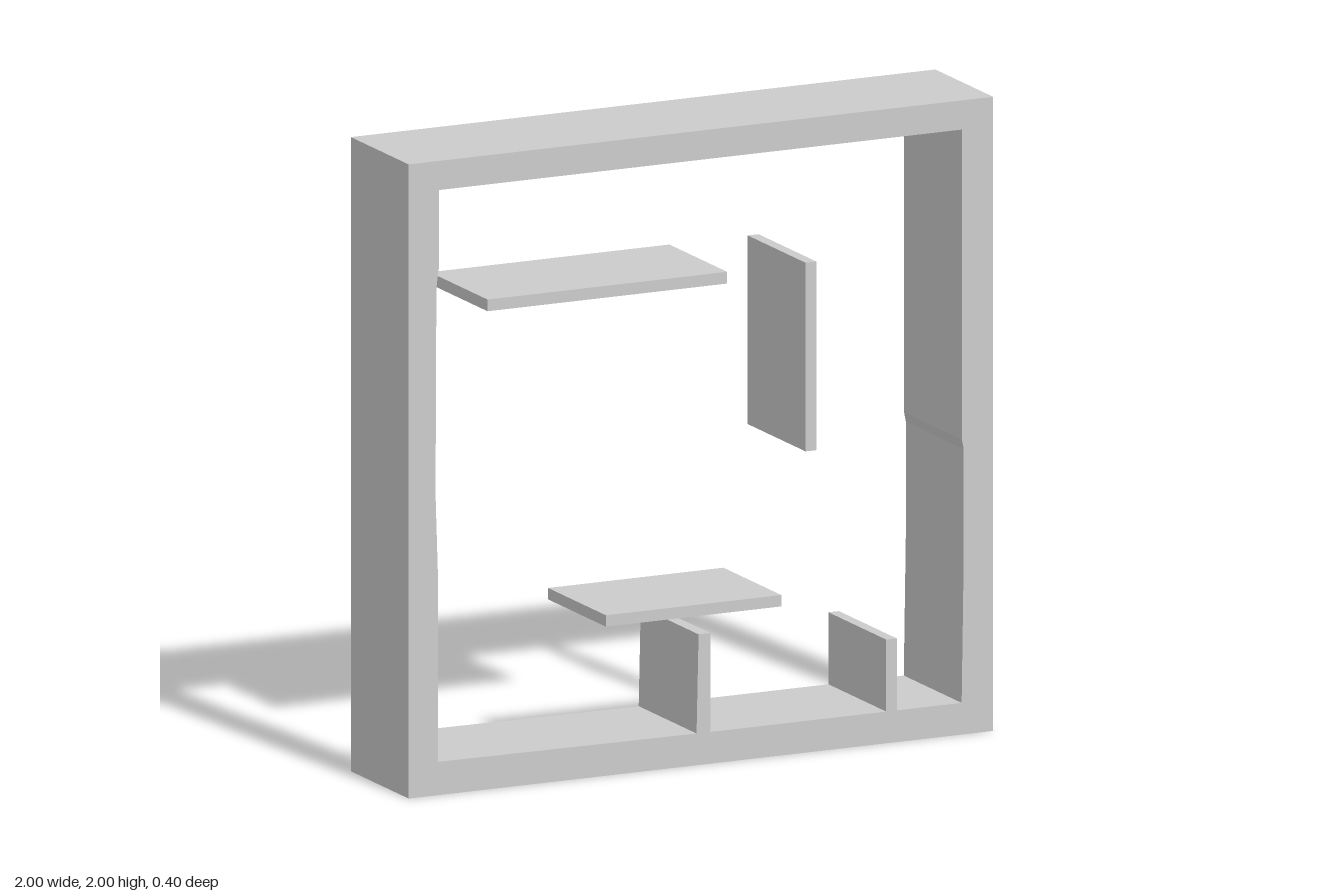
import * as THREE from 'three';

const DEPTH = 0.4;

export function createModel() {
  const group = new THREE.Group();
  const material = new THREE.MeshStandardMaterial({ color: 0xcccccc, flatShading: true });
  const points = (list) => list.map(([x, y]) => new THREE.Vector2(x, y));

  // Extrudes a front outline through the full depth
  function slab(name, outline, hole) {
    const shape = new THREE.Shape(points(outline));
    if (hole) shape.holes.push(new THREE.Path(points(hole)));
    const geometry = new THREE.ExtrudeGeometry(shape, { depth: DEPTH, bevelEnabled: false });
    geometry.translate(0, 0, -DEPTH / 2);
    const mesh = new THREE.Mesh(geometry, material);
    mesh.name = name;
    group.add(mesh);
  }
  const rect = (x0, x1, y0, y1) => [[x0, y0], [x1, y0], [x1, y1], [x0, y1]];

  // Square surround with slightly uneven inner walls
  slab('outerFrame', rect(-1, 1, 0, 2), [
    [-0.9, 0.105], [-0.9, 0.7], [-0.908, 0.95], [-0.905, 1.6], [-0.897, 1.66], [-0.897, 1.908],
    [0.893, 1.908], [0.893, 0.93], [0.899, 0.9], [0.899, 0.55], [0.892, 0.1], [0, 0.1],
  ]);

  // Floating panels
  slab('upperShelf', rect(-0.73, 0.09, 1.508, 1.545));
  slab('lowerShelf', rect(-0.325, 0.275, 0.47, 0.506));
  slab('hangingPanel', rect(0.358, 0.395, 0.95, 1.545));

  // Dividers rising from the floor
  slab('middleDivider', [[-0.015, 0.1], [0.032, 0.1], [0.032, 0.412], [-0.008, 0.412]]);
  slab('sideDivider', rect(0.634, 0.67, 0.1, 0.327));

  // Thin folded gusset in the back corner
  const gusset = new THREE.BufferGeometry();
  gusset.setAttribute('position', new THREE.Float32BufferAttribute([
    -0.9, 0.268, -0.2, -0.82, 0.13, -0.204, -0.738, 0.268, -0.2, -0.738, 0.108, -0.198,
  ], 3));
  gusset.setIndex([0, 1, 2, 2, 1, 3]);
  gusset.computeVertexNormals();
  const gussetMaterial = material.clone();
  gussetMaterial.side = THREE.DoubleSide;
  const cornerGusset = new THREE.Mesh(gusset, gussetMaterial);
  cornerGusset.name = 'cornerGusset';
  group.add(cornerGusset);

  return group;
}
